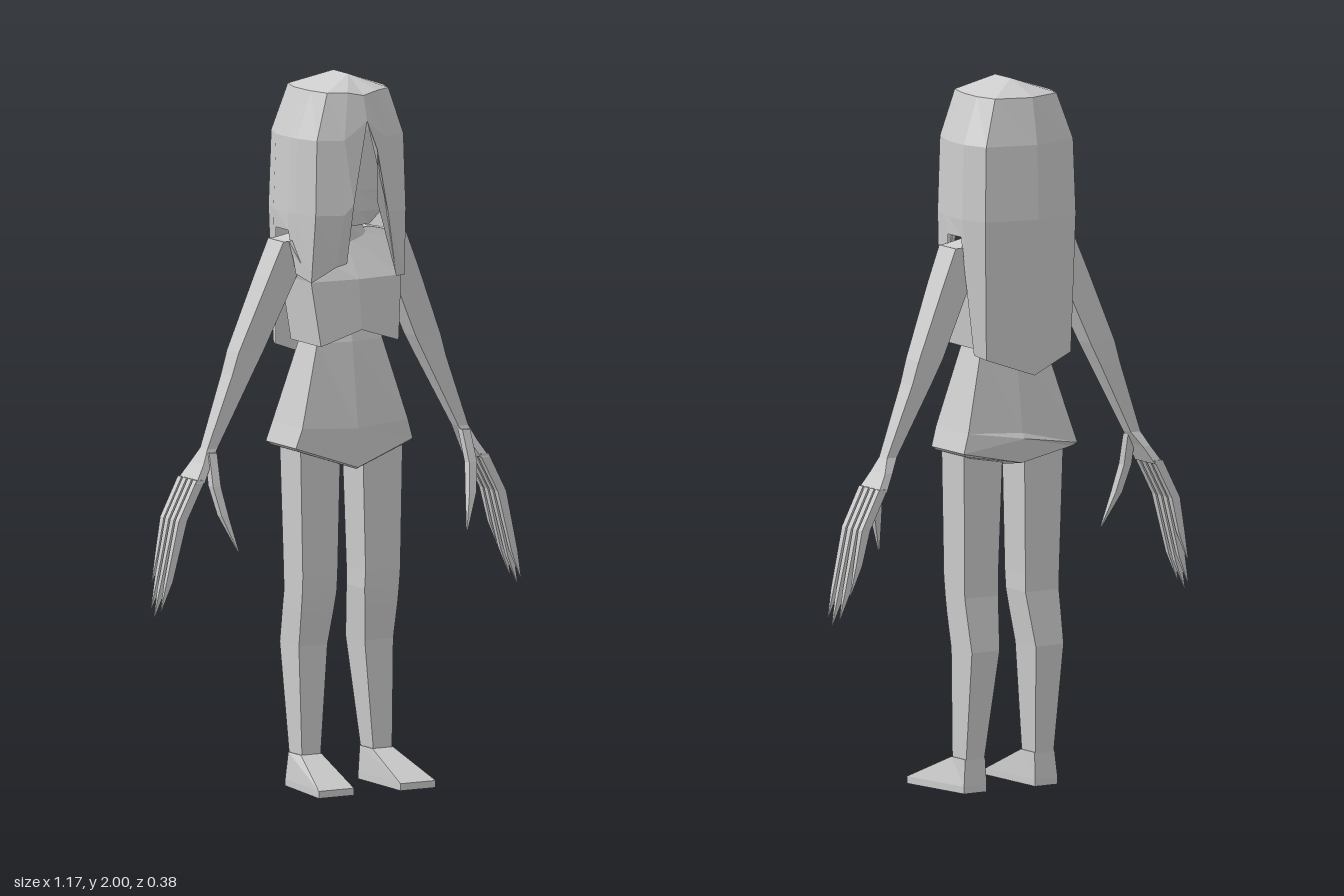
import * as THREE from 'three';

const grey = new THREE.MeshStandardMaterial({ color: 0xcccccc, flatShading: true, side: THREE.DoubleSide });
grey.name = 'plain grey';

// Skin rings of points, listed from top to bottom, each counter-clockwise from above
function loft(name, rings, closed = true) {
  const n = rings[0].length, index = [];
  const g = new THREE.BufferGeometry();
  g.setAttribute('position', new THREE.Float32BufferAttribute(rings.flat(2), 3));
  for (let r = 0; r < rings.length - 1; r++) {
    for (let i = 0; i < (closed ? n : n - 1); i++) {
      const j = (i + 1) % n, a = r * n + i, b = a + n, c = (r + 1) * n + j, d = r * n + j;
      index.push(a, b, c, a, c, d);
    }
  }
  if (closed) {
    const last = (rings.length - 1) * n;
    for (let i = 1; i < n - 1; i++) index.push(0, i, i + 1, last, last + i + 1, last + i);
  }
  g.setIndex(index);
  const flat = g.toNonIndexed();
  flat.computeVertexNormals();
  const mesh = new THREE.Mesh(flat, grey);
  mesh.name = name;
  return mesh;
}

// Six-sided body ring with a front and a back ridge
const ring6 = ([y, hx, zf, zb, ridge = 0.015, dyF = 0, dyB = 0]) => [
  [0, y + dyF, zf + ridge], [hx, y, zf], [hx, y, zb],
  [0, y + dyB, zb - ridge], [-hx, y, zb], [-hx, y, zf],
];
const body = (name, rows) => loft(name, rows.map(ring6));

// Four-sided limb ring: x range and z range at one height
const ring4 = ([y, x0, x1, z0, z1]) => [[x0, y, z1], [x1, y, z1], [x1, y, z0], [x0, y, z0]];

// Mirror rings to the chosen side and keep their winding
const toSide = (rings, s) => s > 0 ? rings : rings.map(r => r.map(([x, y, z]) => [-x, y, z]).reverse());

export function createModel() {
  const model = new THREE.Group();
  model.name = 'figure';

  // Head and neck
  model.add(
    body('head', [
      [1.95, 0.07, 0.05, -0.09], [1.85, 0.13, 0.08, -0.13], [1.68, 0.12, 0.08, -0.12],
      [1.62, 0.085, 0.075, -0.08], [1.58, 0.05, 0.065, -0.05],
    ]),
    body('neck', [[1.65, 0.05, 0.01, -0.06], [1.57, 0.055, 0.01, -0.065], [1.52, 0.09, 0.01, -0.07]]),
  );

  // Loose top with a lifted front hem, and the flared skirt below it
  model.add(
    body('top', [
      [1.56, 0.09, 0.005, -0.06, 0], [1.54, 0.18, 0.015, -0.07, 0], [1.43, 0.145, 0.075, -0.09],
      [1.25, 0.125, 0.095, -0.07, 0.01, 0.04], [1.285, 0.1, 0.03, -0.055],
    ]),
    body('skirt', [
      [1.3, 0.095, 0.025, -0.055], [1.25, 0.105, 0.04, -0.06], [1.02, 0.17, 0.07, -0.095, 0.015, -0.01, -0.01],
      [0.965, 0.188, 0.065, -0.1, 0.02, -0.065, 0.03], [0.955, 0.175, 0.06, -0.09, 0.015, -0.06, -0.03],
    ]),
  );

  // Hair shell: each column gives its outline point, then its hem point
  const columns = [
    [0.07, 0.13, 0.12, 1.43, 0.09], [0.145, 0.1, 0.15, 1.43, 0.085],
    [0.17, 0.03, 0.165, 1.45, 0.025], [0.175, 0, 0.175, 1.57, 0],
    [0.178, -0.065, 0.175, 1.57, -0.065], [0.178, -0.075, 0.155, 1.24, -0.1],
    [0.15, -0.15, 0.14, 1.23, -0.14], [0, -0.19, 0, 1.18, -0.17],
  ];
  const hairColumn = ([x, z, bx, by, bz], s) => [
    [0, 2, THREE.MathUtils.clamp(z, -0.05, 0.03)],
    [s * x * 0.68, 1.96, z * 0.84],
    [s * x * 0.96, 1.83, z * 0.97],
    [s * x, 1.62, z],
    [s * bx, by, bz],
  ];
  const parting = (x, yMid, yEnd, zEnd) => [
    [0, 2, 0.03], [0, 1.95, 0.115], [0, 1.88, 0.135], [x * 0.9, yMid, 0.14], [x, yEnd, zEnd],
  ];
  const left = columns.map(c => hairColumn(c, 1));
  const right = columns.slice(0, -1).map(c => hairColumn(c, -1)).reverse();
  right[right.length - 1][4] = [-0.08, 1.47, 0.1];
  const hair = [parting(0.033, 1.8, 1.65, 0.135), ...left, ...right, parting(-0.05, 1.65, 1.48, 0.11)];
  model.add(loft('hair', [0, 1, 2, 3, 4].map(r => hair.map(c => c[r])), false));

  for (const s of [1, -1]) {
    const side = s > 0 ? 'left' : 'right';
    const limb = (name, rings) => model.add(loft(side + name, toSide(rings, s)));

    // Leg
    limb('Leg', [
      [1.0, 0.035, 0.165, -0.065, 0.05], [0.6, 0.045, 0.157, -0.055, 0.05],
      [0.55, 0.045, 0.156, -0.055, 0.045], [0.5, 0.05, 0.155, -0.065, 0.038], [0.4, 0.06, 0.152, -0.085, 0.02],
      [0.09, 0.085, 0.145, -0.045, 0.025],
    ].map(ring4));

    // Foot, widening toward the toes
    const sole = y => [[0.075, y, 0.19], [0.188, y, 0.19], [0.155, y, -0.05], [0.08, y, -0.05]];
    limb('Foot', [ring4([0.095, 0.082, 0.148, -0.045, 0.025]), sole(0.02), sole(0)]);

    // Arm and palm
    limb('Arm', [
      [1.54, 0.13, 0.197, -0.072, 0.012], [1.44, 0.15, 0.24, -0.075, 0.005],
      [1.235, 0.245, 0.325, -0.08, -0.015], [1.17, 0.28, 0.345, -0.078, -0.018],
      [0.97, 0.388, 0.42, -0.065, -0.025],
    ].map(ring4));
    limb('Palm', [
      [0.97, 0.388, 0.42, -0.065, -0.025], [0.93, 0.415, 0.44, -0.085, -0.012],
      [0.88, 0.445, 0.472, -0.102, 0.002],
    ].map(ring4));

    // Four tapering fingers
    [[-0.092, 0.6, 0.56], [-0.065, 0.53, 0.578], [-0.037, 0.51, 0.585], [-0.009, 0.53, 0.58]].forEach(([z, y, x], i) => {
      limb('Finger' + (i + 1), [
        [0.89, 0.442, 0.47, z - 0.01, z + 0.01], [0.78, 0.5, 0.527, z - 0.01, z + 0.01],
        [y + 0.08, x - 0.035, x - 0.015, z - 0.007, z + 0.007], [y, x - 0.002, x, z - 0.001, z + 0.001],
      ].map(ring4));
    });

    // Thumb, curving inward and forward
    limb('Thumb', [
      [0.96, 0.395, 0.42, -0.04, -0.015], [0.87, 0.4, 0.425, -0.012, 0.015],
      [0.79, 0.388, 0.41, 0.012, 0.036], [0.69, 0.367, 0.37, 0.054, 0.058],
    ].map(ring4));
  }
  return model;
}
